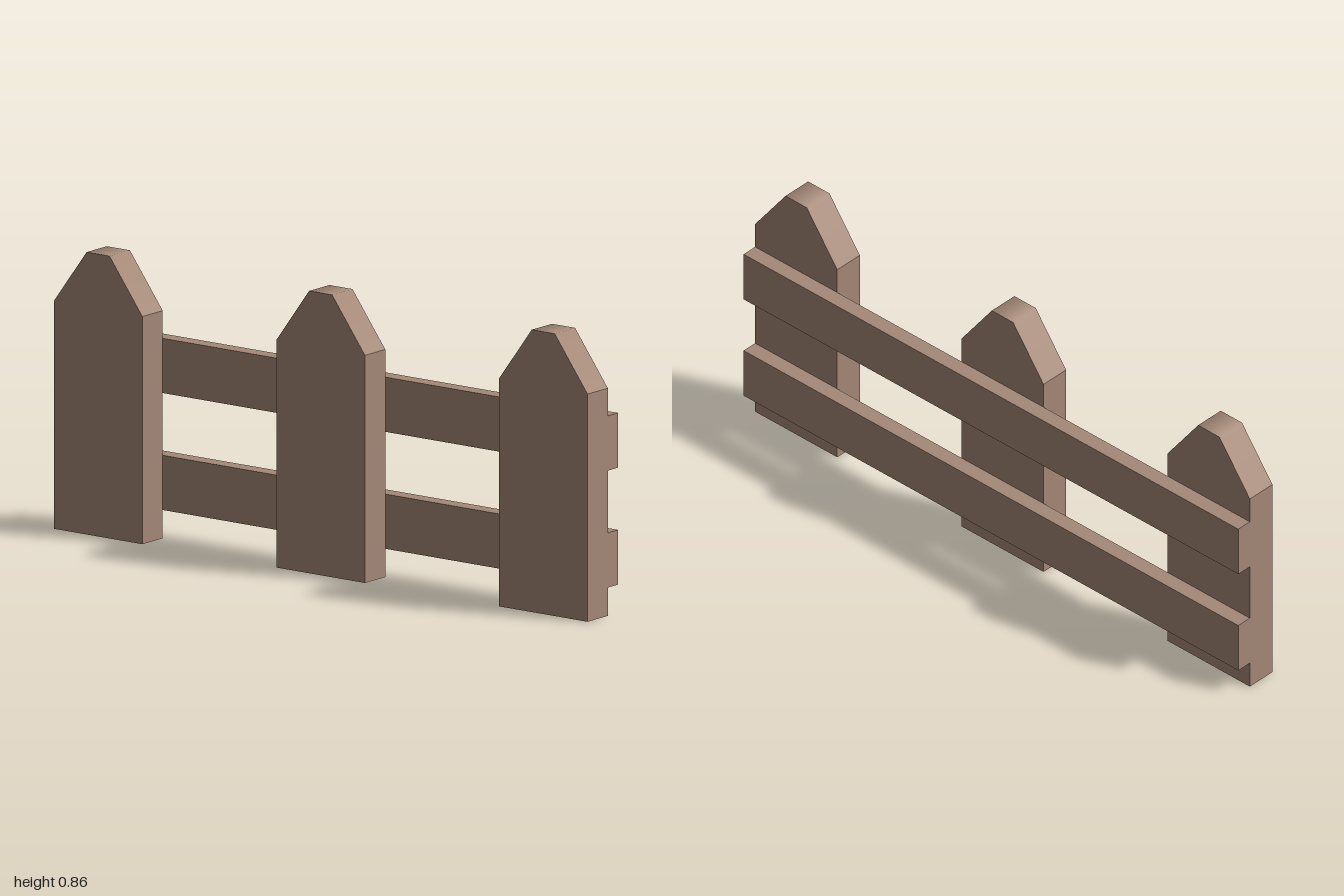
import * as THREE from 'three';

const BACK = -0.074, MID = 0.024, FRONT = 0.074; // layers across x
const HALF = 0.166, TIP = 0.043, SHOULDER = 0.691, TOP = 0.857;

// Pointed picket board, blunt at the tip, with the tip edges softly shaded
function picketGeometry() {
  const shape = new THREE.Shape([
    [-HALF, 0], [HALF, 0], [HALF, SHOULDER], [TIP, TOP], [-TIP, TOP], [-HALF, SHOULDER],
  ].map(([x, y]) => new THREE.Vector2(x, y)));
  const geo = new THREE.ExtrudeGeometry(shape, { depth: MID - BACK, bevelEnabled: false });
  geo.rotateY(Math.PI / 2).translate(BACK, 0, 0);

  // Blend the normals of the slopes and the flat tip where they meet
  const slope = Math.atan2(TOP - SHOULDER, HALF - TIP) / 2;
  const { position, normal } = geo.attributes;
  for (let i = 0; i < position.count; i++) {
    if (position.getY(i) > TOP - 0.001 && Math.abs(normal.getX(i)) < 0.5) {
      normal.setXYZ(i, 0, Math.cos(slope), Math.sign(position.getZ(i)) * Math.sin(slope));
    }
  }
  return geo;
}

export function createModel() {
  const fence = new THREE.Group();
  fence.name = 'fence';
  const wood = new THREE.MeshStandardMaterial({ color: 0xa58977 });
  wood.name = 'brown wood';

  // Three pickets
  const picketGeo = picketGeometry();
  [1 - HALF, 0, HALF - 1].forEach((z, i) => {
    const picket = new THREE.Mesh(picketGeo, wood);
    picket.name = `picket${i + 1}`;
    picket.position.z = z;
    fence.add(picket);
  });

  // Two rails fixed to the +x side of the pickets
  const railGeo = new THREE.BoxGeometry(FRONT - MID, 0.166, 2);
  [['lowerRail', 0.169], ['upperRail', 0.524]].forEach(([name, y]) => {
    const rail = new THREE.Mesh(railGeo, wood);
    rail.name = name;
    rail.position.set((MID + FRONT) / 2, y, 0);
    fence.add(rail);
  });

  return fence;
}
